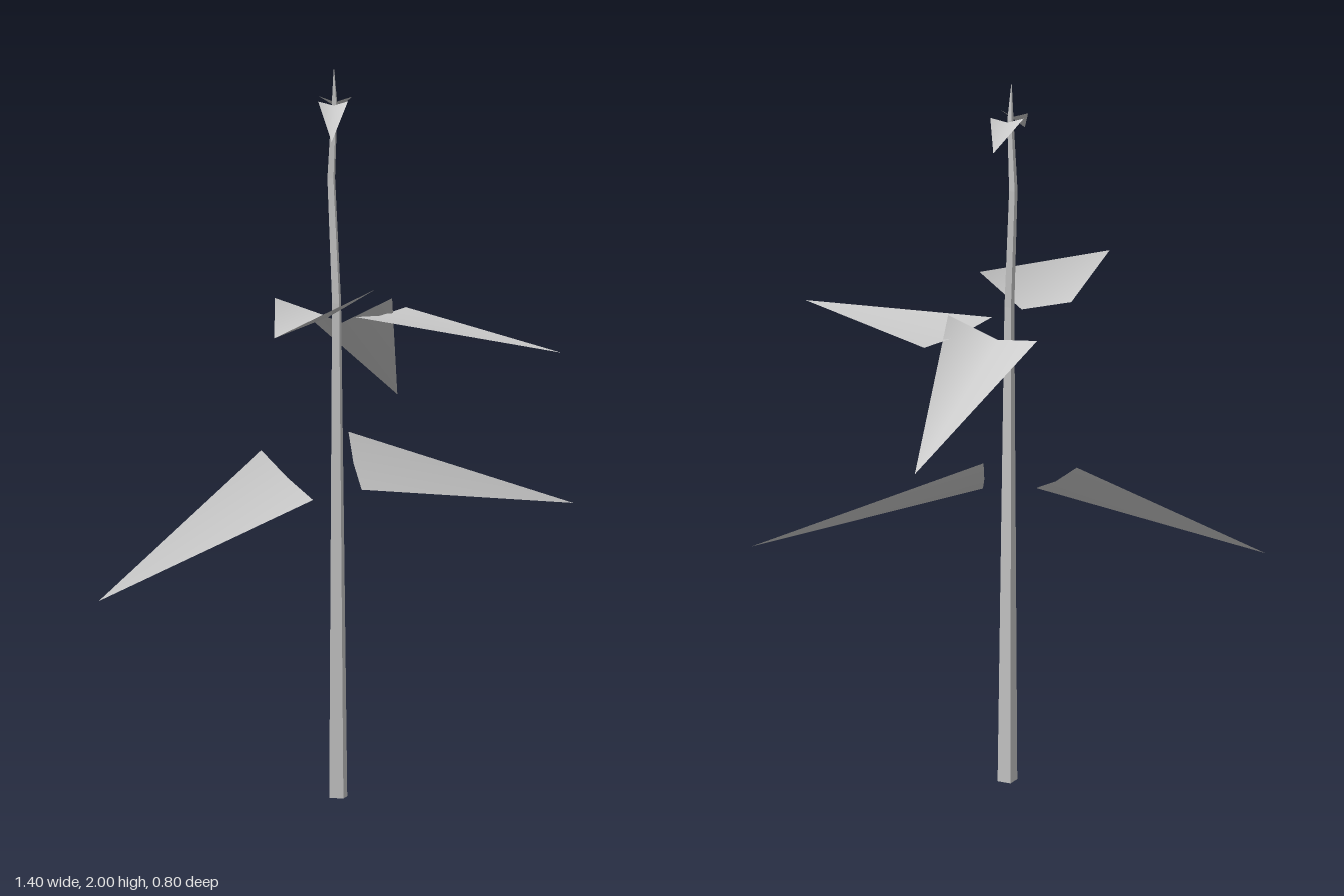
import * as THREE from 'three';

const leafMaterial = new THREE.MeshStandardMaterial({ color: 0xcccccc, side: THREE.DoubleSide });
const stemMaterial = new THREE.MeshStandardMaterial({ color: 0xcccccc, flatShading: true });

// Pointed leaf: two base corners, a tip, and a midrib sunk below the blade by fold
function makeLeaf(name, cornerA, cornerB, tip, fold) {
  const a = new THREE.Vector3(...cornerA);
  const b = new THREE.Vector3(...cornerB);
  const t = new THREE.Vector3(...tip);
  const middle = a.clone().lerp(b, 0.5);
  const normal = b.clone().sub(a).cross(t.clone().sub(a)).normalize();
  if (normal.y > 0) normal.negate();
  middle.addScaledVector(normal, fold);

  const geometry = new THREE.BufferGeometry().setFromPoints([a, middle, b, t]);
  geometry.setIndex([0, 1, 3, 1, 2, 3]);
  geometry.computeVertexNormals();
  const mesh = new THREE.Mesh(geometry, leafMaterial);
  mesh.name = name;
  return mesh;
}

// Four-sided tapering stem through rings of [x, y, z, radius]
function makeStem(rings) {
  const sides = 4;
  const positions = [];
  const index = [];
  rings.forEach(([x, y, z, r], i) => {
    for (let s = 0; s < sides; s++) {
      const angle = (s / sides) * Math.PI * 2 + 0.2;
      positions.push(x + r * Math.cos(angle), y, z + r * Math.sin(angle));
      if (i === rings.length - 1) continue;
      const p = i * sides + s;
      const q = i * sides + (s + 1) % sides;
      index.push(p, p + sides, q, q, p + sides, q + sides);
    }
  });
  index.push(0, 1, 2, 0, 2, 3); // bottom cap
  const geometry = new THREE.BufferGeometry();
  geometry.setAttribute('position', new THREE.Float32BufferAttribute(positions, 3));
  geometry.setIndex(index);
  geometry.computeVertexNormals();
  const mesh = new THREE.Mesh(geometry, stemMaterial);
  mesh.name = 'stem';
  return mesh;
}

export function createModel() {
  const plant = new THREE.Group();
  plant.name = 'plant';

  plant.add(makeStem([
    [-0.014, 0, -0.165, 0.028],
    [-0.017, 0.7, -0.165, 0.021],
    [-0.02, 1.36, -0.165, 0.014],
    [-0.02, 1.7, -0.187, 0.012],
    [-0.016, 1.9, -0.178, 0.009],
    [-0.021, 2, -0.175, 0.001],
  ]));

  // Name, two base corners, tip, fold depth
  const leaves = [
    ['lowerRightLeaf', [-0.12, 0.94, -0.36], [-0.10, 0.826, -0.17], [-0.705, 0.593, -0.36], 0.01],
    ['lowerLeftLeaf', [0.127, 0.972, -0.285], [0.048, 0.841, -0.14], [0.697, 0.746, -0.012], 0.01],
    ['middleFrontLeaf', [0.012, 1.322, -0.125], [0.272, 1.307, -0.215], [0.3, 1.26, 0.395], 0.01],
    ['middleRightLeaf', [-0.01, 1.415, -0.017], [-0.16, 1.377, -0.258], [-0.487, 1.354, 0.115], 0.065],
    ['middleBackLeaf', [0, 1.323, -0.355], [0.153, 1.356, -0.135], [0.407, 1.026, -0.405], 0.065],
    ['topRightLeaf', [-0.064, 1.915, -0.19], [-0.01, 1.917, -0.13], [-0.122, 1.827, -0.068], 0.016],
    ['topBackLeaf', [-0.026, 1.92, -0.234], [0.046, 1.917, -0.177], [0.104, 1.862, -0.298], 0.016],
  ];
  for (const leaf of leaves) plant.add(makeLeaf(...leaf));

  return plant;
}
